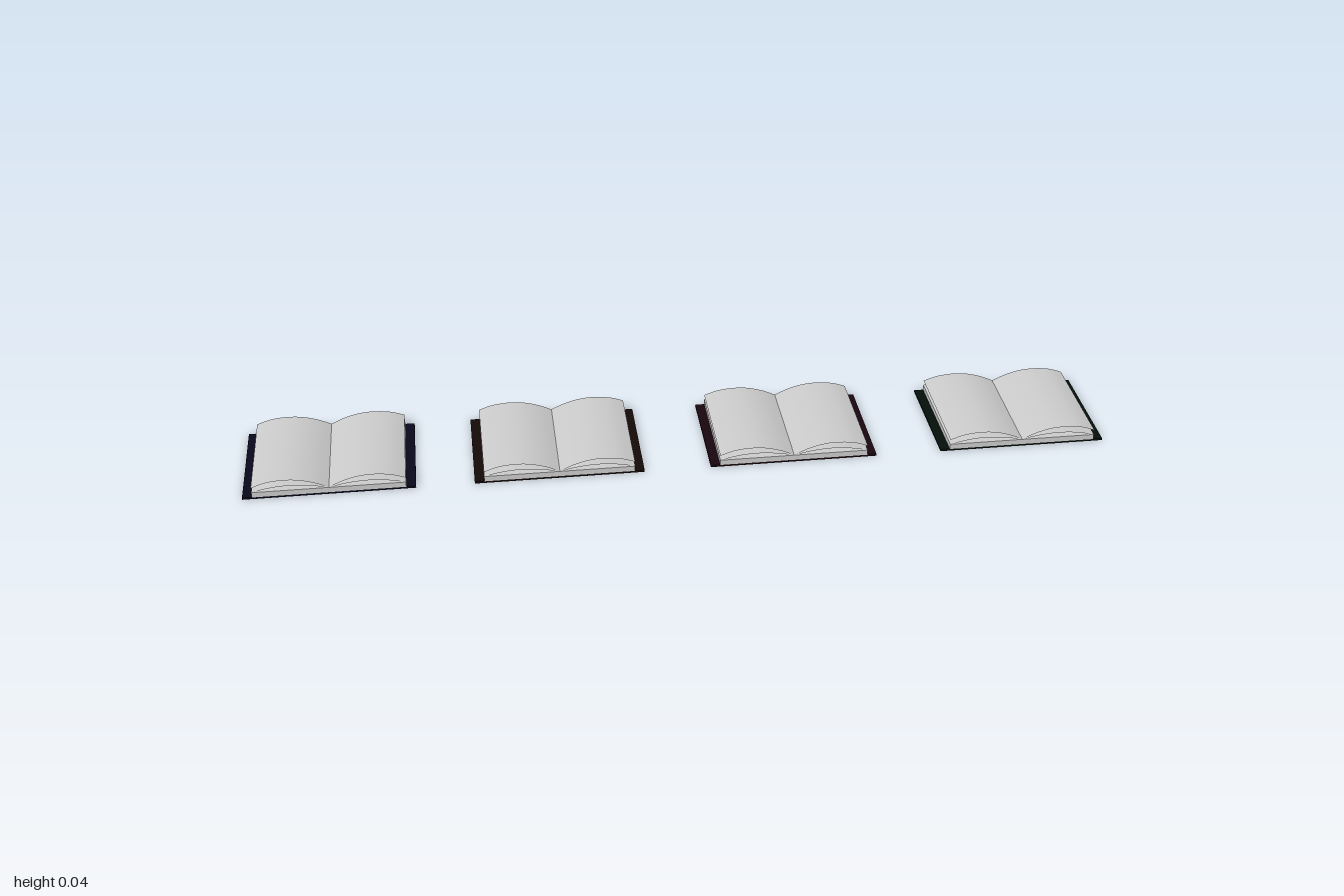
import * as THREE from 'three';

const LENGTH = 0.272;
const PAGE_HALF = 0.173;
const BLOCK_TOP = 0.018;

const paper = new THREE.MeshStandardMaterial({ color: 0xcccccc, side: THREE.DoubleSide });

// Half cross-sections [distance from spine, height] of the arched sheets
const lowerProfile = [[0, 0.018], [0.04, 0.026], [0.085, 0.03], [0.13, 0.027], [PAGE_HALF, 0.018]];
const upperProfile = [[0, 0.018], [0.03, 0.032], [0.065, 0.042], [0.1, 0.045], [0.14, 0.041], [PAGE_HALF, 0.03]];

// Open curved sheet swept along z; side is +1 or -1 from the spine
function sheetGeometry(profile, side) {
  const steps = 16;
  const points = new THREE.SplineCurve(profile.map(([x, y]) => new THREE.Vector2(x, y))).getPoints(steps);
  if (side < 0) points.reverse();
  const geometry = new THREE.PlaneGeometry(1, LENGTH, steps, 1).rotateX(-Math.PI / 2);
  const position = geometry.attributes.position;
  for (let i = 0; i < position.count; i++) {
    const p = points[i % (steps + 1)];
    position.setXYZ(i, side * p.x, p.y, position.getZ(i));
  }
  geometry.computeVertexNormals();
  return geometry;
}

function addMesh(group, name, geometry, material, y = 0) {
  const mesh = new THREE.Mesh(geometry, material);
  mesh.name = name;
  mesh.position.y = y;
  group.add(mesh);
}

function createBook(coverColor) {
  const book = new THREE.Group();
  const cover = new THREE.MeshStandardMaterial({ color: coverColor });

  // Flat open cover and the solid page block on it
  addMesh(book, 'cover', new THREE.BoxGeometry(0.39, 0.005, 0.27), cover, 0.0025);
  addMesh(book, 'pageBlock', new THREE.BoxGeometry(PAGE_HALF * 2, BLOCK_TOP - 0.005, LENGTH), paper, (BLOCK_TOP + 0.005) / 2);

  // Two arched sheets on each side of the spine
  for (const [side, label] of [[1, 'left'], [-1, 'right']]) {
    addMesh(book, label + 'LowerSheet', sheetGeometry(lowerProfile, side), paper);
    addMesh(book, label + 'UpperSheet', sheetGeometry(upperProfile, side), paper);
  }
  return book;
}

export function createModel() {
  const model = new THREE.Group();
  model.name = 'openBooks';
  const books = [
    ['navyBook', -0.805, 0x08081c],
    ['brownBook', -0.282, 0x140a08],
    ['maroonBook', 0.262, 0x18060e],
    ['greenBook', 0.805, 0x05100a],
  ];
  for (const [name, x, color] of books) {
    const book = createBook(color);
    book.name = name;
    book.position.x = x;
    model.add(book);
  }
  return model;
}
